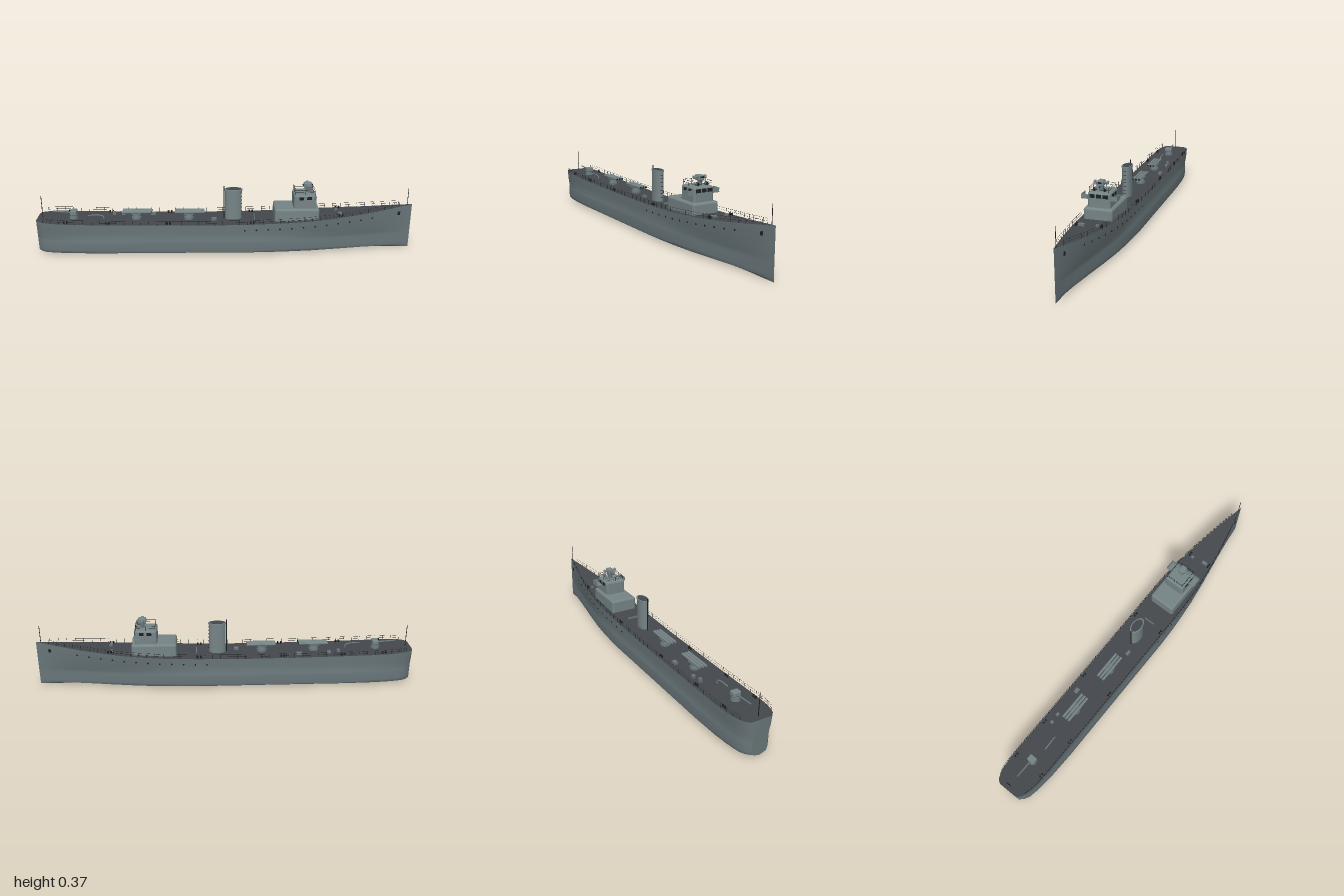
import * as THREE from 'three';
import { mergeGeometries, toCreasedNormals } from 'three/addons/utils/BufferGeometryUtils.js';
import { RoundedBoxGeometry } from 'three/addons/geometries/RoundedBoxGeometry.js';

const material = (name, color, side = THREE.FrontSide) => {
  const m = new THREE.MeshStandardMaterial({ color, side });
  m.name = name;
  return m;
};

// Piecewise linear lookup: [[x, value], ...]
const lookup = (table) => (x) => {
  for (let i = 1; i < table.length; i++) {
    const [x0, v0] = table[i - 1], [x1, v1] = table[i];
    if (x <= x1) return v0 + (v1 - v0) * Math.max(0, (x - x0) / (x1 - x0));
  }
  return table[table.length - 1][1];
};
const deckY = lookup([[-1, 0.187], [-0.8, 0.179], [-0.5, 0.173], [-0.1, 0.171], [0.15, 0.174], [0.35, 0.182],
  [0.55, 0.195], [0.75, 0.214], [0.9, 0.233], [1, 0.246]]);
const deckHalf = lookup([[-1, 0.05], [-0.993, 0.063], [-0.98, 0.074], [-0.955, 0.085], [-0.92, 0.093], [-0.87, 0.098],
  [-0.8, 0.1], [0.35, 0.1], [0.45, 0.096], [0.55, 0.086], [0.65, 0.072], [0.75, 0.055], [0.85, 0.035], [0.94, 0.015], [1, 0.0008]]);
const lowHalf = lookup([[-1, 0.04], [-0.98, 0.062], [-0.955, 0.076], [-0.9, 0.088], [-0.8, 0.097], [-0.65, 0.102], [0.15, 0.102],
  [0.3, 0.096], [0.45, 0.082], [0.6, 0.06], [0.75, 0.035], [0.88, 0.015], [1, 0.0008]]);

const stations = [-1, -0.993, -0.98, -0.955, -0.92, -0.87, -0.8, -0.65, -0.4, -0.1, 0.15, 0.25, 0.35, 0.4, 0.45,
  0.5, 0.55, 0.6, 0.65, 0.7, 0.75, 0.8, 0.85, 0.9, 0.94, 0.97, 1];

// Half section, deck edge down to keel, as [z, y]
function section(x) {
  const top = deckY(x), wd = deckHalf(x), wl = lowHalf(x);
  const neck = Math.min(wl * 0.95, wd) * 0.85 + wd * 0.15;
  return [[wd, top], [neck * 0.4 + wd * 0.6, 0.135], [neck, 0.095], [wl * 0.99, 0.083], [wl, 0.07],
    [wl, 0.03], [wl * 0.985, 0.018], [wl * 0.94, 0.013], [wl * 0.5, 0.006], [0, 0]];
}

function hullGeometry() {
  const pos = [], idx = [];
  let n = 0;
  for (const x of stations) {
    const half = section(x);
    const ring = [...half, ...half.slice(0, -1).reverse().map(([z, y]) => [-z, y])];
    n = ring.length;
    ring.forEach(([z, y]) => pos.push(x, y, z));
  }
  for (let i = 0; i < stations.length - 1; i++) for (let j = 0; j < n - 1; j++) {
    const a = i * n + j, b = a + n;
    idx.push(a, a + 1, b, b, a + 1, b + 1);
  }
  for (let j = 1; j < n - 1; j++) idx.push(0, j + 1, j);
  return finish(pos, idx, 0.6);
}

function deckGeometry() {
  const pos = [], idx = [];
  stations.forEach((x, i) => {
    pos.push(x, deckY(x), -deckHalf(x), x, deckY(x), deckHalf(x));
    const a = i * 2;
    if (i < stations.length - 1) idx.push(a, a + 1, a + 2, a + 2, a + 1, a + 3);
  });
  return finish(pos, idx, 0.6);
}

function finish(pos, idx, crease) {
  const g = new THREE.BufferGeometry();
  g.setAttribute('position', new THREE.Float32BufferAttribute(pos, 3));
  g.setIndex(idx);
  g.computeVertexNormals();
  return toCreasedNormals(g, crease);
}

export function createModel() {
  const ship = new THREE.Group();
  ship.name = 'warship';
  const hullGrey = material('hull grey', 0x69767a);
  const lightGrey = material('superstructure grey', 0x768486);
  const deckGrey = material('deck grey', 0x44484c);
  const black = material('dark fittings', 0x1d2022, THREE.DoubleSide);

  const add = (name, geo, mat, x = 0, y = 0, z = 0, parent = ship) => {
    const m = new THREE.Mesh(geo, mat);
    m.name = name;
    m.position.set(x, y, z);
    parent.add(m);
    return m;
  };
  const box = (w, h, d) => new THREE.BoxGeometry(w, h, d);
  const cyl = (r, h, seg = 12, r2 = r) => new THREE.CylinderGeometry(r, r2, h, seg);
  const rounded = (w, h, d, r) => new RoundedBoxGeometry(w, h, d, 3, r);
  const group = (name, x, y, z = 0) => {
    const g = new THREE.Group();
    g.name = name;
    g.position.set(x, y, z);
    ship.add(g);
    return g;
  };

  add('hull', hullGeometry(), hullGrey);
  add('deck', deckGeometry(), deckGrey);

  // Guard rails: merged posts with two wires on each side
  for (const s of [1, -1]) {
    const edge = (x, h) => new THREE.Vector3(x, deckY(x) + h, s * (deckHalf(x) - 0.002));
    const parts = [], xs = [];
    for (let i = 0; i <= 44; i++) xs.push(-0.96 + i * 1.89 / 44);
    for (const x of xs) {
      const p = edge(x, 0.012);
      parts.push(cyl(0.0008, 0.024, 4).translate(p.x, p.y, p.z));
    }
    for (const h of [0.012, 0.024]) {
      parts.push(new THREE.TubeGeometry(new THREE.CatmullRomCurve3(xs.map((x) => edge(x, h))), 120, 0.0005, 4));
    }
    add('guardRail', mergeGeometries(parts), black);

    // Portholes and anchors on the bow sides
    for (let i = 0; i < 12; i++) {
      const x = 0.1 + i * 0.062, y = deckY(x) - 0.033;
      const t = (y - 0.135) / (deckY(x) - 0.135);
      const [, p1] = section(x);
      const z = p1[0] + (deckHalf(x) - p1[0]) * Math.max(0, t);
      add('porthole', cyl(0.0045, 0.004), black, x, y, s * z).rotation.x = Math.PI / 2;
    }
    const anchor = add('anchor', rounded(0.014, 0.02, 0.008, 0.003), black, 0.93, 0.2, s * 0.0155);
    anchor.rotation.y = s * 0.22;

    // Mooring bollards
    for (const x of [-0.84, -0.62, -0.3, 0.14, 0.61]) for (const dx of [-0.008, 0.008]) {
      add('bollard', cyl(0.0045, 0.013, 10), black, x + dx, deckY(x) + 0.006, s * (deckHalf(x) - 0.016));
    }
  }

  // Deckhouse and bridge
  add('deckhouse', rounded(0.236, 0.08, 0.145, 0.012), lightGrey, 0.377, 0.207, 0);
  add('bridge', rounded(0.116, 0.085, 0.114, 0.012), lightGrey, 0.418, 0.278, 0);
  for (const z of [-0.033, 0, 0.033]) add('frontWindow', box(0.002, 0.018, 0.026), black, 0.4765, 0.302, z);
  for (const s of [1, -1]) {
    for (const x of [0.4, 0.44]) add('sideWindow', box(0.024, 0.016, 0.002), black, x, 0.302, s * 0.0575);
    add('bridgeWing', box(0.05, 0.004, 0.036), lightGrey, 0.448, 0.286, s * 0.073);
    add('wingBulwark', box(0.003, 0.022, 0.033), lightGrey, 0.4715, 0.296, s * 0.0735);
    add('wingEnd', box(0.05, 0.022, 0.003), lightGrey, 0.448, 0.296, s * 0.0885);
    add('searchlight', cyl(0.009, 0.016), hullGrey, 0.455, 0.331, s * 0.026).rotation.z = Math.PI / 2;
    add('searchlightLens', cyl(0.007, 0.002), black, 0.464, 0.331, s * 0.026).rotation.z = Math.PI / 2;
  }

  // Rail round the bridge roof
  const corners = [[0.368, 0.049], [0.418, 0.049], [0.47, 0.049], [0.47, 0], [0.47, -0.049], [0.418, -0.049], [0.368, -0.049], [0.368, 0]];
  const roofRail = [];
  corners.forEach(([x, z], i) => {
    const [x2, z2] = corners[(i + 1) % corners.length];
    roofRail.push(cyl(0.0008, 0.025, 4).translate(x, 0.332, z));
    for (const y of [0.333, 0.344]) {
      roofRail.push(box(Math.abs(x2 - x) + 0.001, 0.001, Math.abs(z2 - z) + 0.001).translate((x + x2) / 2, y, (z + z2) / 2));
    }
  });
  add('roofRail', mergeGeometries(roofRail), black);

  // Rangefinder
  const finder = group('rangefinder', 0.436, 0.32);
  add('pedestal', cyl(0.011, 0.03, 16), hullGrey, 0, 0.012, 0, finder);
  add('finderBody', rounded(0.042, 0.028, 0.032, 0.006), lightGrey, 0, 0.039, 0, finder);
  add('finderArm', cyl(0.0055, 0.07), lightGrey, 0, 0.042, 0, finder).rotation.x = Math.PI / 2;
  add('finderSlot', box(0.002, 0.008, 0.018), black, 0.0213, 0.043, 0, finder);
  for (const s of [1, -1]) add('finderEnd', rounded(0.016, 0.016, 0.01, 0.003), lightGrey, 0, 0.042, s * 0.032, finder);

  // Oval funnel with cap and steam pipe
  const funnel = group('funnel', 0.043, 0.165);
  const oval = (name, r, h, y, mat) => add(name, cyl(r, h, 32), mat, 0, y, 0, funnel).scale.z = 0.56;
  oval('funnelCasing', 0.044, 0.172, 0.086, lightGrey);
  oval('funnelCap', 0.048, 0.008, 0.17, lightGrey);
  oval('funnelMouth', 0.04, 0.002, 0.1745, deckGrey);
  add('steamPipe', cyl(0.003, 0.19, 8), black, -0.05, 0.095, 0, funnel);
  for (let i = 0; i < 7; i++) add('rung', box(0.003, 0.002, 0.014), black, 0.0445, 0.03 + i * 0.02, 0, funnel);

  // Triple torpedo mounts
  for (const x of [-0.47, -0.19]) {
    const mount = group('torpedoMount', x, deckY(x));
    add('turntable', cyl(0.026, 0.01, 20), hullGrey, -0.005, 0.005, 0, mount);
    add('mountColumn', cyl(0.016, 0.022, 16, 0.024), hullGrey, -0.005, 0.02, 0, mount);
    add('cradle', box(0.05, 0.006, 0.048), hullGrey, -0.005, 0.033, 0, mount);
    for (const z of [-0.017, 0, 0.017]) {
      add('tube', cyl(0.007, 0.155), lightGrey, 0, 0.043, z, mount).rotation.z = Math.PI / 2;
      add('tubeMouth', cyl(0.0055, 0.002), black, 0.0775, 0.043, z, mount).rotation.z = Math.PI / 2;
    }
  }

  // Aft gun, pointing astern
  const gun = group('aftGun', -0.81, deckY(-0.81));
  add('gunBase', cyl(0.02, 0.02, 16, 0.024), hullGrey, 0, 0.01, 0, gun);
  add('gunShield', rounded(0.034, 0.026, 0.042, 0.006), lightGrey, 0.002, 0.033, 0, gun);
  const barrel = add('gunBarrel', cyl(0.0035, 0.11, 10, 0.005), hullGrey, -0.055, 0.034, 0, gun);
  barrel.rotation.z = Math.PI / 2 - 0.08;

  // Deck hatches and lockers: [x, z, length, width, height]
  for (const [x, z, l, w, h] of [[-0.39, -0.06, 0.028, 0.02, 0.012], [-0.55, -0.055, 0.018, 0.014, 0.014], [-0.06, 0.022, 0.026, 0.016, 0.012],
    [-0.6, -0.05, 0.016, 0.014, 0.02], [0.61, 0.035, 0.016, 0.03, 0.012], [0.6, -0.04, 0.014, 0.014, 0.01], [0.155, 0, 0.004, 0.06, 0.01]]) {
    add('deckLocker', box(l, h, w), hullGrey, x, deckY(x) + h / 2, z);
  }

  // Curved davit aft, and ensign and jack staffs
  const davit = new THREE.CatmullRomCurve3([[-0.65, 0.172, 0.012], [-0.65, 0.19, 0.012], [-0.67, 0.199, 0.014], [-0.73, 0.199, 0.016]]
    .map((p) => new THREE.Vector3(...p)));
  add('davit', new THREE.TubeGeometry(davit, 20, 0.003, 8), lightGrey);
  add('ensignStaff', cyl(0.0018, 0.12, 8), black, -0.975, 0.245, 0);
  add('jackStaff', cyl(0.0016, 0.095, 8), black, 0.975, 0.287, 0);

  return ship;
}
